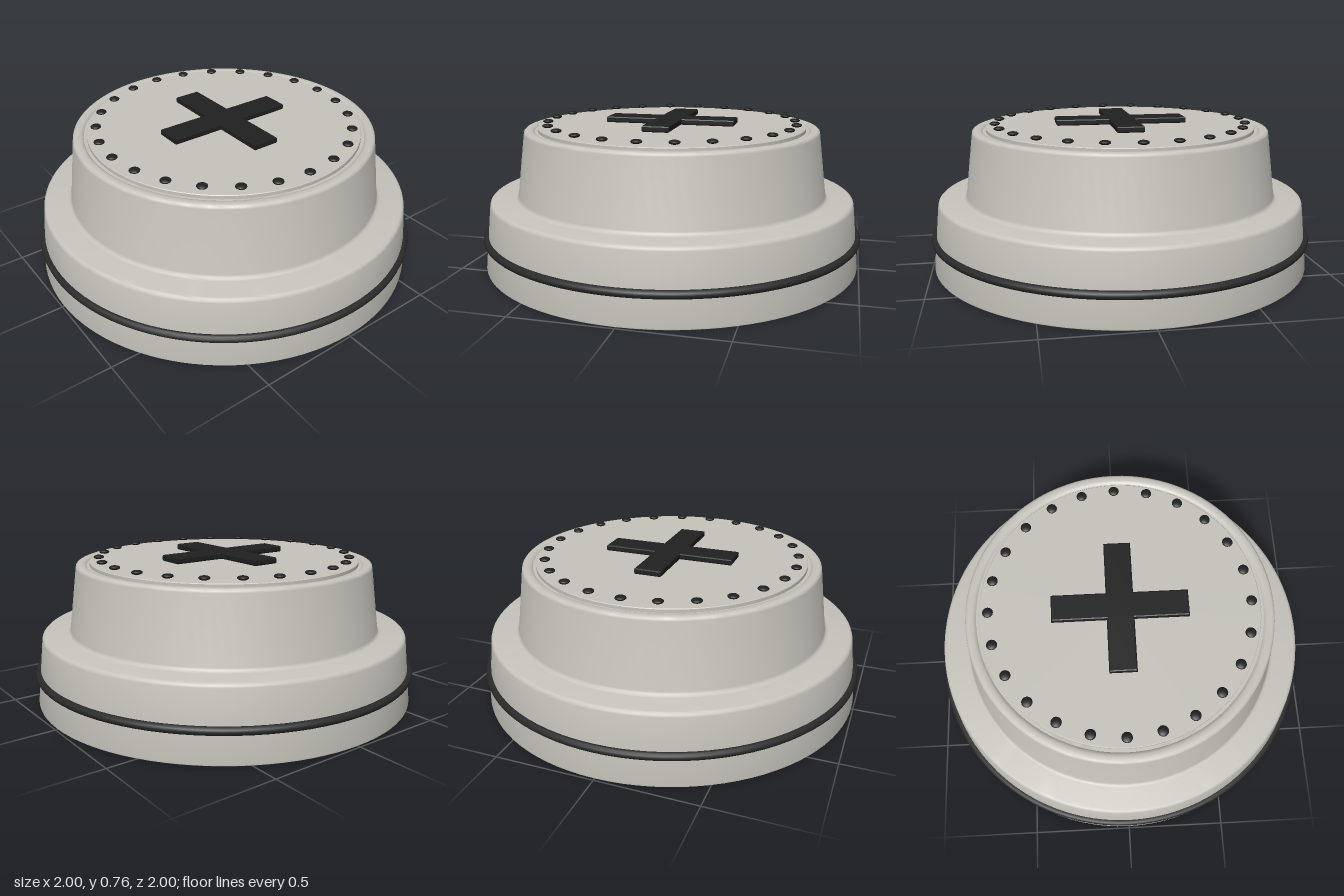
import * as THREE from 'three';
import { toCreasedNormals } from 'three/addons/utils/BufferGeometryUtils.js';

export function createModel() {
  const group = new THREE.Group();
  const shellGrey = new THREE.MeshStandardMaterial({ color: 0xc6c4bc });
  shellGrey.name = 'shellGrey';
  const rubberBlack = new THREE.MeshStandardMaterial({ color: 0x2a2a2a });
  rubberBlack.name = 'rubberBlack';
  const markBlack = new THREE.MeshStandardMaterial({ color: 0x202020 });
  markBlack.name = 'markBlack';

  const add = (name, geometry, material, parent = group) => {
    const mesh = new THREE.Mesh(geometry, material);
    mesh.name = name;
    parent.add(mesh);
    return mesh;
  };
  const lathe = (profile, segments = 96) => toCreasedNormals(
    new THREE.LatheGeometry(profile.map(([r, y]) => new THREE.Vector2(r, y)), segments), 0.65);

  // Hollow stepped housing: recess ceiling, recess wall, base, shoulder, crown
  add('housing', lathe([
    [0, 0.4], [0.8, 0.4], [0.8, 0], [0.985, 0], [0.991, 0.004], [0.992, 0.012],
    [0.957, 0.336], [0.954, 0.346], [0.947, 0.353], [0.938, 0.356],
    [0.832, 0.356], [0.822, 0.359], [0.815, 0.366], [0.812, 0.376],
    [0.771, 0.695], [0.769, 0.704], [0.763, 0.71], [0.755, 0.713],
    [0.733, 0.713], [0.722, 0.709], [0.716, 0.703], [0.69, 0.703],
  ]), shellGrey);

  // Raised lid disc set into the crown
  add('lid', lathe([[0.7, 0.7], [0.7, 0.719], [0.697, 0.722], [0, 0.722]]), shellGrey);

  // Sealing ring around the base
  const ring = add('sealRing', new THREE.TorusGeometry(0.98, 0.02, 12, 96), rubberBlack);
  ring.rotation.x = Math.PI / 2;
  ring.position.y = 0.157;

  // Bevelled cross in the middle of the lid
  const a = 0.333, b = 0.061, bevel = 0.007;
  const cross = new THREE.Shape([
    [b, a], [-b, a], [-b, b], [-a, b], [-a, -b], [-b, -b],
    [-b, -a], [b, -a], [b, -b], [a, -b], [a, b], [b, b],
  ].map(([x, y]) => new THREE.Vector2(x, y)));
  const crossGeometry = new THREE.ExtrudeGeometry(cross, {
    depth: 0.018, bevelEnabled: true, bevelSize: bevel, bevelThickness: bevel, bevelSegments: 2,
  });
  crossGeometry.rotateX(-Math.PI / 2);
  add('cross', crossGeometry, markBlack).position.y = 0.735;

  // Ring of flattened studs
  const studs = new THREE.Group();
  studs.name = 'studs';
  group.add(studs);
  const studGeometry = new THREE.SphereGeometry(0.027, 16, 10);
  studGeometry.scale(1, 0.4, 1);
  for (let i = 0; i < 24; i++) {
    const angle = (i / 24) * Math.PI * 2;
    add('stud', studGeometry, markBlack, studs)
      .position.set(0.653 * Math.cos(angle), 0.738, 0.653 * Math.sin(angle));
  }
  return group;
}
